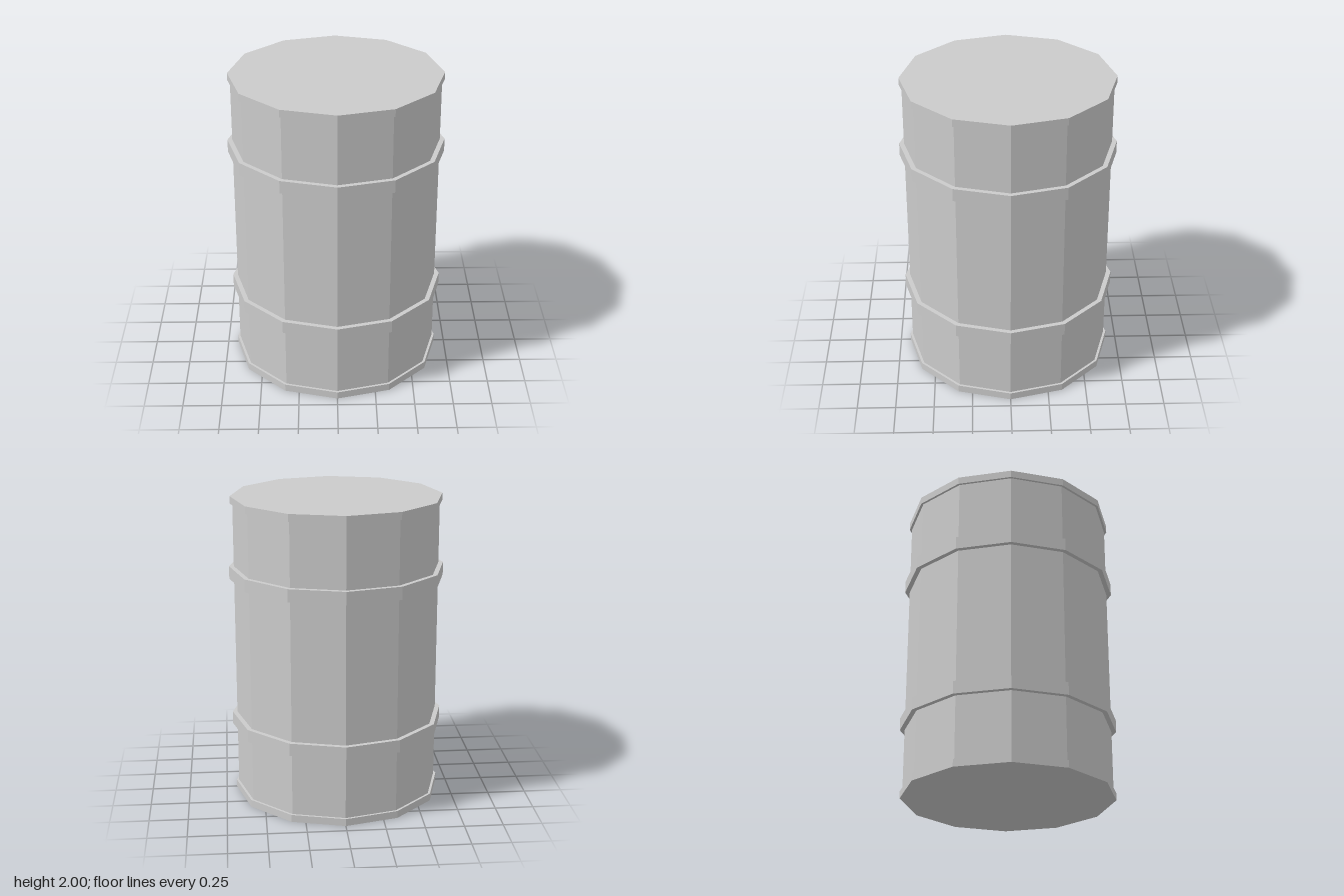
import * as THREE from 'three';

const SIDES = 12;

export function createModel() {
  const model = new THREE.Group();
  model.name = 'barrel';
  const material = new THREE.MeshStandardMaterial({ color: 0xcccccc, flatShading: true });

  // A twelve-sided drum section between two heights
  const addSection = (name, radius, bottom, top) => {
    const height = top - bottom;
    const mesh = new THREE.Mesh(new THREE.CylinderGeometry(radius, radius, height, SIDES), material);
    mesh.name = name;
    mesh.position.y = bottom + height / 2;
    model.add(mesh);
  };

  // Main shell, with its ends hidden inside the rims
  addSection('body', 0.667, 0.02, 1.98);

  // End rims, which also close the top and bottom
  addSection('bottomRim', 0.683, 0, 0.048);
  addSection('topRim', 0.683, 1.952, 2);

  // Raised hoops around the shell
  addSection('lowerHoop', 0.698, 0.46, 0.543);
  addSection('upperHoop', 0.698, 1.46, 1.543);

  return model;
}
